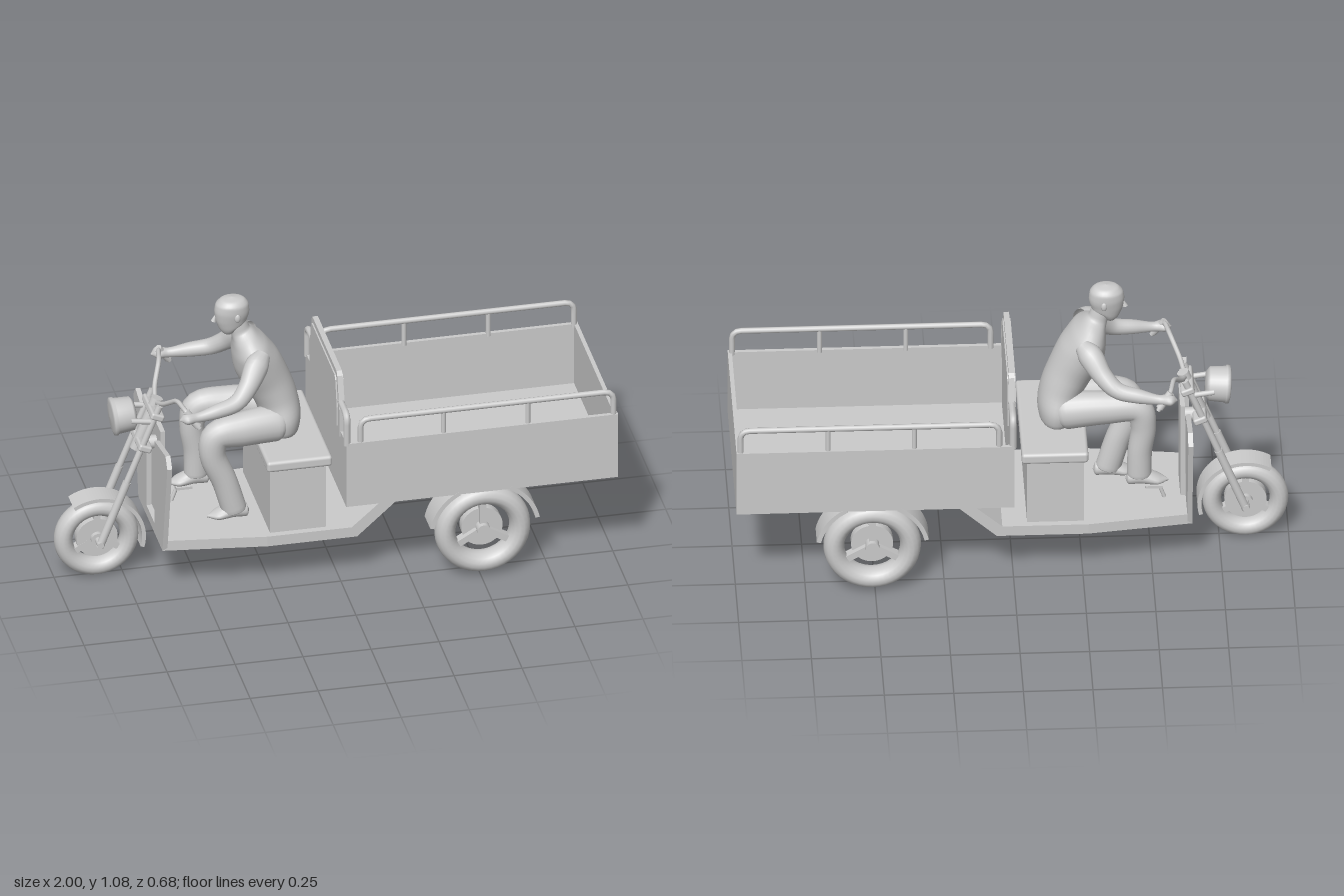
import * as THREE from 'three';
import { RoundedBoxGeometry } from 'three/addons/geometries/RoundedBoxGeometry.js';

const mat = new THREE.MeshStandardMaterial({ color: 0xcccccc, side: THREE.DoubleSide });
const V = (x, y, z) => new THREE.Vector3(x, y, z);

export function createModel() {
  const root = new THREE.Group();
  const add = (name, geo, x = 0, y = 0, z = 0, parent = root) => {
    const m = new THREE.Mesh(geo, mat);
    m.name = name;
    m.position.set(x, y, z);
    parent.add(m);
    return m;
  };
  const box = (name, x0, x1, y0, y1, z0, z1) =>
    add(name, new THREE.BoxGeometry(x1 - x0, y1 - y0, z1 - z0), (x0 + x1) / 2, (y0 + y1) / 2, (z0 + z1) / 2);
  const rod = (name, a, b, r, r2 = r) => {
    const m = add(name, new THREE.CylinderGeometry(r2, r, a.distanceTo(b), 14));
    m.position.copy(a).lerp(b, 0.5);
    m.quaternion.setFromUnitVectors(V(0, 1, 0), b.clone().sub(a).normalize());
    return m;
  };
  // Pipe along straight runs with rounded bends
  const pipe = (name, pts, r, bend = 0.035) => {
    const path = new THREE.CurvePath();
    let from = pts[0];
    for (let i = 1; i < pts.length - 1; i++) {
      const p = pts[i];
      const a = p.clone().add(pts[i - 1].clone().sub(p).setLength(bend));
      const b = p.clone().add(pts[i + 1].clone().sub(p).setLength(bend));
      path.add(new THREE.LineCurve3(from, a));
      path.add(new THREE.QuadraticBezierCurve3(a, p, b));
      from = b;
    }
    path.add(new THREE.LineCurve3(from, pts[pts.length - 1]));
    return add(name, new THREE.TubeGeometry(path, 64, r, 8));
  };
  const poly = (pts) => new THREE.Shape(pts.map(([x, y]) => new THREE.Vector2(x, y)));
  const extrude = (shape, depth) => new THREE.ExtrudeGeometry(shape, { depth, bevelEnabled: false, curveSegments: 20 });
  // Smooth body through rows of [x, y, z, half width across z, half depth]
  const loft = (name, rows, steps = 28, n = 20) => {
    const path = new THREE.CatmullRomCurve3(rows.map((r) => V(r[0], r[1], r[2])));
    const radii = new THREE.CatmullRomCurve3(rows.map((r) => V(r[3], r[4], 0)));
    const pos = [], idx = [];
    for (let i = 0; i <= steps; i++) {
      const u = i / steps, c = path.getPoint(u), t = path.getTangent(u), r = radii.getPoint(u);
      const b = V(0, 0, 1).addScaledVector(t, -t.z).normalize(), k = t.clone().cross(b);
      for (let j = 0; j < n; j++) {
        const a = (j / n) * Math.PI * 2;
        const p = c.clone().addScaledVector(b, Math.cos(a) * Math.max(r.x, 0.001))
          .addScaledVector(k, Math.sin(a) * Math.max(r.y, 0.001));
        pos.push(p.x, p.y, p.z);
        if (i < steps) {
          const q = i * n + j, s = i * n + (j + 1) % n;
          idx.push(q, s, s + n, q, s + n, q + n);
        }
      }
    }
    const g = new THREE.BufferGeometry();
    g.setAttribute('position', new THREE.Float32BufferAttribute(pos, 3));
    g.setIndex(idx);
    g.computeVertexNormals();
    return add(name, g);
  };

  // Cargo box
  box('cargoFloor', 0, 1, 0.36, 0.375, -0.34, 0.34);
  box('cargoFrontWall', 0, 0.015, 0.36, 0.62, -0.34, 0.34);
  box('tailgate', 0.985, 1, 0.36, 0.62, -0.34, 0.34);
  for (const s of [-1, 1]) {
    const side = box('cargoSideWall', 0, 1, 0.36, 0.62, -0.0075, 0.0075);
    side.position.z = s * 0.3325;
    // Side rail with two middle posts
    const z = s * 0.328;
    pipe('sideRail', [V(0.055, 0.61, z), V(0.055, 0.71, z), V(0.985, 0.71, z), V(0.985, 0.61, z)], 0.011);
    for (const x of [0.36, 0.67]) rod('railPost', V(x, 0.61, z), V(x, 0.71, z), 0.009);
    pipe('headboardLoop', [V(0.005, 0.61, z), V(0.005, 0.732, z), V(0.005, 0.732, s * 0.22)], 0.013);
  }
  // Headboard with raised panel
  const board = (w, t, y0, y1, y2) => poly([[-w, y0], [w, y0], [w, y1], [t + 0.012, y2 - 0.015], [t, y2],
    [-t, y2], [-t - 0.012, y2 - 0.015], [-w, y1]]);
  add('headboard', extrude(board(0.246, 0.2, 0.6, 0.71, 0.846), 0.02).rotateY(Math.PI / 2), -0.005);
  add('headboardPanel', extrude(board(0.225, 0.19, 0.635, 0.71, 0.825), 0.03).rotateY(Math.PI / 2), -0.01);

  // Floor pan and rear ramp
  const plan = poly([[-0.645, -0.2], [-0.27, -0.25], [0.06, -0.25], [0.06, 0.25], [-0.27, 0.25], [-0.645, 0.2]]);
  add('floorPan', extrude(plan, 0.04).rotateX(-Math.PI / 2), 0, 0.18);
  add('rearRamp', extrude(poly([[0.04, 0.18], [0.06, 0.18], [0.26, 0.36], [0.2, 0.36], [0.04, 0.22]]), 0.5), 0, 0, -0.25);

  // Seat
  box('seatBase', -0.255, -0.05, 0.22, 0.485, -0.225, 0.225);
  add('seatCushion', new RoundedBoxGeometry(0.24, 0.042, 0.5, 3, 0.012), -0.15, 0.502, 0);

  // Leg shield: two flared panels and a narrower set-back centre
  for (const s of [-1, 1]) {
    const panel = poly([[s * 0.065, 0.18], [s * 0.2, 0.18], [s * 0.28, 0.56], [s * 0.25, 0.6], [s * 0.065, 0.56]]);
    add('legShield', extrude(panel, 0.018).rotateY(Math.PI / 2), -0.645);
  }
  box('shieldCentre', -0.625, -0.608, 0.2, 0.6, -0.075, 0.075);

  // Wheels
  const wheel = (name, x, y, z, R, tube, wide, drumZ) => {
    const g = new THREE.Group();
    g.name = name;
    g.position.set(x, y, z);
    root.add(g);
    add('tyre', new THREE.TorusGeometry(R - tube, tube, 14, 40), 0, 0, 0, g).scale.z = wide;
    add('rim', new THREE.CylinderGeometry(R - tube * 1.8, R - tube * 1.8, tube * 1.3, 36, 1, true).rotateX(Math.PI / 2), 0, 0, 0, g);
    add('hub', new THREE.CylinderGeometry(0.025, 0.025, 0.07, 18).rotateX(Math.PI / 2), 0, 0, 0, g);
    add('drum', new THREE.CylinderGeometry(0.076, 0.076, 0.035, 30).rotateX(Math.PI / 2), 0, 0, drumZ, g);
    for (let i = 0; i < 3; i++) {
      const spoke = add('spoke', new THREE.BoxGeometry(0.024, R - tube * 1.7, 0.036).translate(0, (R - tube * 1.7) / 2, 0), 0, 0, 0, g);
      spoke.rotation.z = Math.PI / 2 + (i * Math.PI * 2) / 3 - Math.PI / 2;
    }
  };
  // Curved guard between two angles in degrees
  const guard = (name, x, y, z, r, t, w, a0, a1) => {
    const s = new THREE.Shape(), d = Math.PI / 180;
    s.absarc(0, 0, r + t, a0 * d, a1 * d, false);
    s.absarc(0, 0, r, a1 * d, a0 * d, true);
    add(name, extrude(s, w), x, y, z - w / 2);
  };
  wheel('frontWheel', -0.845, 0.157, 0, 0.155, 0.034, 1.18, 0);
  guard('frontFender', -0.845, 0.157, 0, 0.16, 0.014, 0.088, -15, 122);
  for (const s of [-1, 1]) {
    wheel('rearWheel', 0.51, 0.189, s * 0.294, 0.176, 0.038, 1.23, -s * 0.02);
    guard('rearFender', 0.51, 0.189, s * 0.294, 0.19, 0.016, 0.094, 12, 62);
    guard('rearFender', 0.51, 0.189, s * 0.294, 0.19, 0.016, 0.094, 118, 168);
  }
  rod('rearAxle', V(0.51, 0.189, -0.26), V(0.51, 0.189, 0.26), 0.022);
  rod('frontAxle', V(-0.845, 0.157, -0.08), V(-0.845, 0.157, 0.08), 0.012);

  // Fork, steering and handlebar
  for (const s of [-1, 1]) {
    rod('forkLower', V(-0.845, 0.145, s * 0.062), V(-0.745, 0.4, s * 0.062), 0.015);
    rod('forkUpper', V(-0.745, 0.4, s * 0.062), V(-0.625, 0.7, s * 0.062), 0.012);
    rod('lampBracket', V(-0.66, 0.64, s * 0.062), V(-0.73, 0.65, s * 0.062), 0.01);
    pipe('handlebar', [V(-0.625, 0.69, s * 0.02), V(-0.615, 0.71, s * 0.07), V(-0.58, 0.768, s * 0.15),
      V(-0.565, 0.765, s * 0.235), V(-0.52, 0.7, s * 0.25)], 0.009, 0.025);
    rod('grip', V(-0.566, 0.766, s * 0.234), V(-0.525, 0.71, s * 0.249), 0.014);
  }
  rod('steeringColumn', V(-0.7, 0.5, 0), V(-0.62, 0.7, 0), 0.022);
  for (const [x, y] of [[-0.68, 0.535], [-0.635, 0.66]]) {
    add('forkClamp', new RoundedBoxGeometry(0.05, 0.026, 0.16, 2, 0.008), x, y, 0).rotation.z = -0.38;
  }
  rod('columnBrace', V(-0.68, 0.52, 0), V(-0.615, 0.52, 0), 0.025);

  // Headlamp
  const lamp = [[0, -0.045], [0.045, -0.042], [0.062, -0.03], [0.066, 0.028], [0.07, 0.03], [0.07, 0.042], [0.055, 0.046], [0, 0.05]];
  add('headlamp', new THREE.LatheGeometry(lamp.map(([x, y]) => new THREE.Vector2(x, y)), 32), -0.745, 0.645, 0).rotation.z = Math.PI / 2 + 0.08;

  // Rider
  loft('riderTorso', [[-0.165, 0.51, 0, 0.02, 0.02], [-0.165, 0.53, 0, 0.1, 0.06], [-0.17, 0.59, 0, 0.113, 0.074],
    [-0.185, 0.66, 0, 0.098, 0.078], [-0.215, 0.73, 0, 0.1, 0.083], [-0.255, 0.81, 0, 0.118, 0.086],
    [-0.282, 0.875, 0, 0.13, 0.068], [-0.3, 0.915, 0, 0.085, 0.048], [-0.315, 0.945, 0, 0.035, 0.036], [-0.325, 0.98, 0, 0.032, 0.034]], 40, 28);
  loft('riderHead', [[-0.33, 0.955, 0, 0.01, 0.02], [-0.342, 0.965, 0, 0.034, 0.046], [-0.347, 0.995, 0, 0.043, 0.058],
    [-0.346, 1.03, 0, 0.05, 0.064], [-0.345, 1.057, 0, 0.05, 0.06], [-0.345, 1.077, 0, 0.034, 0.042], [-0.345, 1.085, 0, 0.001, 0.001]], 28, 24);
  add('nose', new THREE.ConeGeometry(0.01, 0.035, 10), -0.408, 1.008, 0).rotation.z = -0.3;
  for (const s of [-1, 1]) {
    add('ear', new THREE.SphereGeometry(0.014, 10, 8), -0.335, 1.018, s * 0.048).scale.set(0.8, 1.2, 0.5);
    loft('riderArm', [[-0.255, 0.885, s * 0.095, 0.03, 0.03], [-0.283, 0.86, s * 0.128, 0.04, 0.045],
      [-0.325, 0.805, s * 0.175, 0.034, 0.036], [-0.375, 0.765, s * 0.21, 0.031, 0.031],
      [-0.45, 0.75, s * 0.228, 0.027, 0.027], [-0.525, 0.74, s * 0.24, 0.018, 0.018],
      [-0.565, 0.742, s * 0.243, 0.03, 0.02], [-0.59, 0.738, s * 0.243, 0.002, 0.002]], 36, 16);
  }
  // Near leg stands on the floor, far leg rests on the pedal
  loft('leftLeg', [[-0.15, 0.57, 0.055, 0.03, 0.03], [-0.2, 0.578, 0.062, 0.062, 0.07], [-0.32, 0.575, 0.075, 0.056, 0.066],
    [-0.42, 0.56, 0.08, 0.048, 0.054], [-0.435, 0.49, 0.08, 0.046, 0.048], [-0.39, 0.37, 0.08, 0.044, 0.046],
    [-0.355, 0.25, 0.08, 0.042, 0.046], [-0.354, 0.245, 0.08, 0.001, 0.001]], 40);
  loft('rightLeg', [[-0.15, 0.575, -0.055, 0.03, 0.03], [-0.2, 0.588, -0.062, 0.062, 0.07], [-0.34, 0.605, -0.075, 0.056, 0.062],
    [-0.455, 0.6, -0.08, 0.048, 0.052], [-0.475, 0.53, -0.08, 0.045, 0.046], [-0.462, 0.42, -0.08, 0.042, 0.044],
    [-0.46, 0.32, -0.08, 0.04, 0.044], [-0.46, 0.315, -0.08, 0.001, 0.001]], 40);
  const foot = (name, x, y, z) => loft(name, [[x + 0.055, y, z, 0.001, 0.001], [x + 0.045, y, z, 0.024, 0.024],
    [x, y + 0.008, z, 0.03, 0.03], [x - 0.06, y - 0.006, z, 0.034, 0.018], [x - 0.1, y - 0.012, z, 0.001, 0.004]], 20, 16);
  foot('leftFoot', -0.355, 0.243, 0.08);
  foot('rightFoot', -0.465, 0.305, -0.08);
  // Pedal
  rod('pedalArm', V(-0.55, 0.22, -0.08), V(-0.525, 0.29, -0.08), 0.007);
  add('pedal', new THREE.BoxGeometry(0.06, 0.01, 0.07), -0.51, 0.283, -0.08);

  return root;
}
